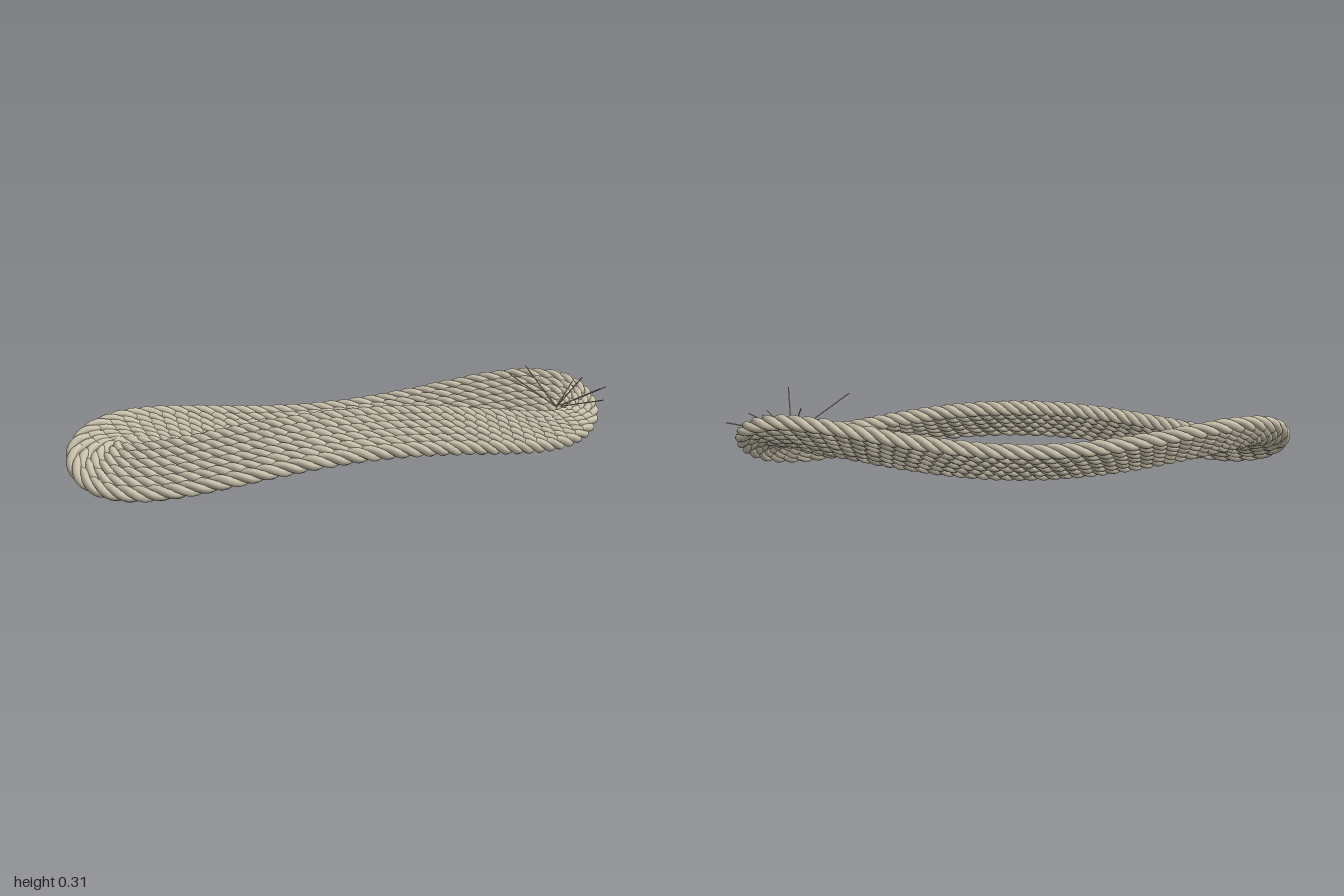
import * as THREE from 'three';

const ROPES = 6;      // ropes lying side by side across the band
const STRANDS = 3;    // strands laid into each rope
const TURNS = 28;     // twists of the lay around the ring
const LAY = 0.014;    // strand centre to rope centre
const STRAND_R = 0.0145;

// Rims of the warped ring: phi = 0 is the front middle, 90 degrees the +x end
function outerRim(phi) {
  const s = Math.sin(phi), c = Math.cos(phi);
  return new THREE.Vector3(
    -0.015 + 0.953 * s,
    0.115 - 0.068 * c + 0.052 * Math.cos(3 * phi) + 0.028 * s,
    0.276 * c - 0.05 * s
  );
}
function innerRim(phi) {
  const s = Math.sin(phi), c = Math.cos(phi);
  return new THREE.Vector3(
    -0.015 + 0.81 * s,
    0.115 + 0.06 * c + 0.025 * Math.cos(3 * phi) + 0.01 * s,
    0.147 * c + 0.015 * s
  );
}

// Centre line of one rope, k = 0 at the inner rim and 1 at the outer rim
function ropePath(k) {
  const pts = [];
  for (let i = 0; i < 96; i++) {
    const phi = (i / 96) * Math.PI * 2;
    pts.push(innerRim(phi).lerp(outerRim(phi), k));
  }
  const curve = new THREE.CatmullRomCurve3(pts, true);
  curve.arcLengthDivisions = 800;
  return curve;
}

// One strand winding around a rope's centre line
function strandGeometry(path, phase) {
  const up = new THREE.Vector3(0, 1, 0);
  const n = new THREE.Vector3(), b = new THREE.Vector3();
  const pts = [];
  const count = TURNS * 8;
  for (let i = 0; i < count; i++) {
    const u = i / count;
    const a = u * TURNS * Math.PI * 2 + phase;
    const t = path.getTangentAt(u);
    n.crossVectors(t, up).normalize();
    b.crossVectors(t, n);
    pts.push(path.getPointAt(u)
      .addScaledVector(n, LAY * Math.cos(a))
      .addScaledVector(b, LAY * Math.sin(a)));
  }
  const helix = new THREE.CatmullRomCurve3(pts, true);
  helix.arcLengthDivisions = 1400;
  return new THREE.TubeGeometry(helix, TURNS * 12, STRAND_R, 7, true);
}

export function createModel() {
  const model = new THREE.Group();
  model.name = 'ropeRing';
  const hemp = new THREE.MeshStandardMaterial({ color: 0xcdc5b0 });
  hemp.name = 'hemp';

  // Band of parallel twisted ropes
  for (let r = 0; r < ROPES; r++) {
    const rope = new THREE.Group();
    rope.name = `rope${r + 1}`;
    const path = ropePath(r / (ROPES - 1));
    for (let s = 0; s < STRANDS; s++) {
      const phase = (s / STRANDS) * Math.PI * 2 + r * Math.PI / 3;
      const strand = new THREE.Mesh(strandGeometry(path, phase), hemp);
      strand.name = 'strand';
      rope.add(strand);
    }
    model.add(rope);
  }

  // Frayed fibres sprouting at the +x end
  const fray = new THREE.Group();
  fray.name = 'frayedFibres';
  const root = new THREE.Vector3(0.78, 0.145, 0);
  const tips = [
    [0.58, 0.285, 0.02], [0.80, 0.285, 0.157], [0.73, 0.27, -0.172],
    [0.87, 0.228, -0.055], [0.997, 0.2, -0.035], [0.93, 0.215, 0.05],
    [0.88, 0.2, 0.17],
  ];
  for (const tip of tips) {
    const dir = new THREE.Vector3(...tip).sub(root);
    const length = dir.length();
    const fibre = new THREE.Mesh(new THREE.CylinderGeometry(0.0022, 0.0022, length, 6), hemp);
    fibre.name = 'fibre';
    fibre.position.copy(root).addScaledVector(dir, 0.5);
    fibre.quaternion.setFromUnitVectors(new THREE.Vector3(0, 1, 0), dir.normalize());
    fray.add(fibre);
  }
  model.add(fray);
  return model;
}
